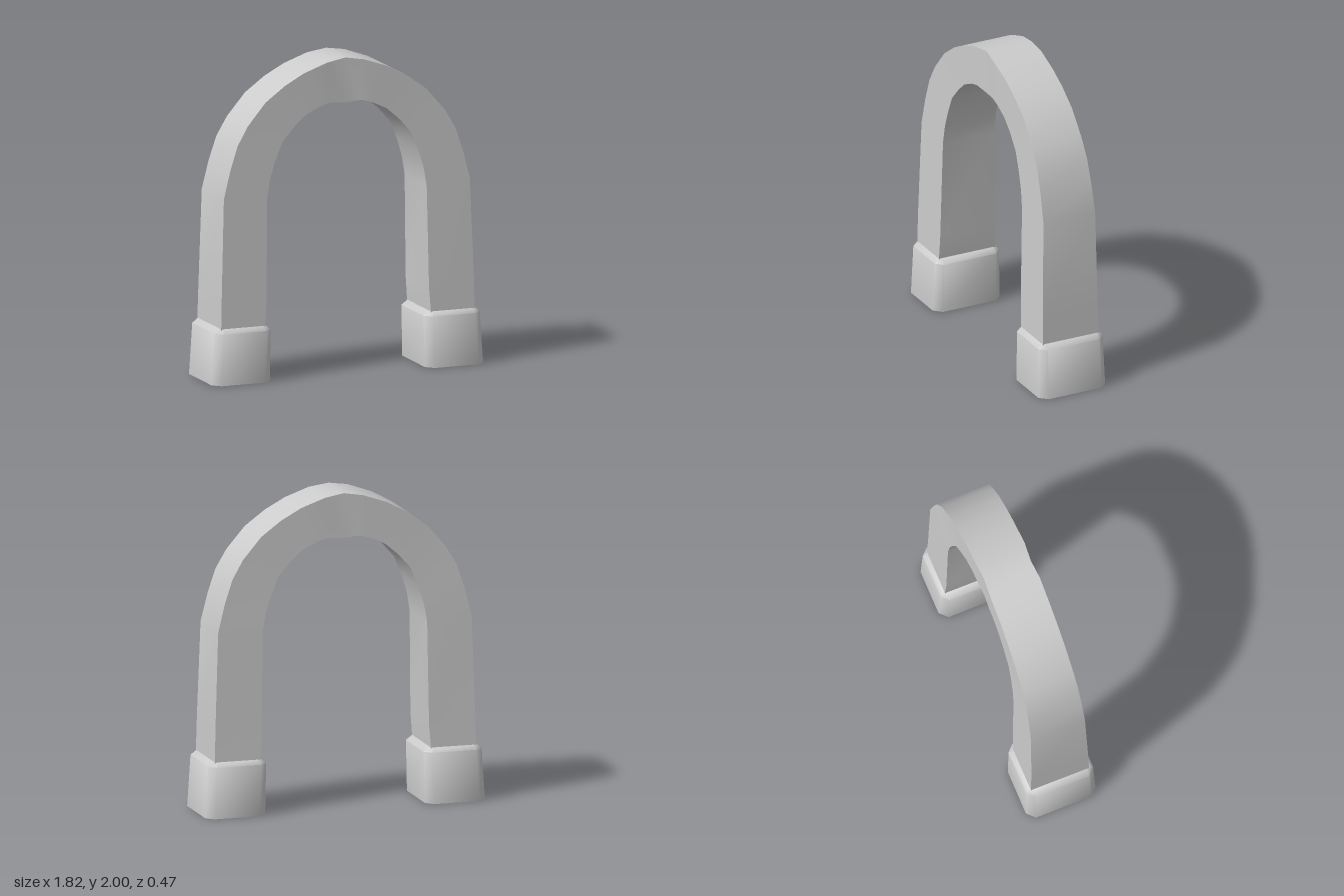
import * as THREE from 'three';
import { toCreasedNormals } from 'three/addons/utils/BufferGeometryUtils.js';

// Skin a stack of closed rings (each counter-clockwise seen from the end) and cap both ends
function loft(rings, crease) {
  const n = rings[0].length, index = [];
  for (let r = 0; r < rings.length - 1; r++) {
    for (let i = 0; i < n; i++) {
      const a = r * n + i, b = r * n + (i + 1) % n;
      index.push(a, b, b + n, a, b + n, a + n);
    }
  }
  const last = (rings.length - 1) * n;
  for (let i = 1; i < n - 1; i++) {
    index.push(0, i + 1, i, last, last + i, last + i + 1);
  }
  const geometry = new THREE.BufferGeometry();
  geometry.setAttribute('position', new THREE.Float32BufferAttribute(rings.flat(2), 3));
  geometry.setIndex(index);
  return toCreasedNormals(geometry, crease);
}

// Half of the arch: outer x, outer y, inner x, inner y, front z, back z
const archHalf = [
  [0.85, 0.34, 0.557, 0.34, 0.195, -0.195],
  [0.845, 0.55, 0.545, 0.5, 0.192, -0.19],
  [0.825, 1.17, 0.535, 1.15, 0.178, -0.183],
  [0.78, 1.35, 0.515, 1.27, 0.175, -0.179],
  [0.73, 1.5, 0.48, 1.38, 0.172, -0.175],
  [0.66, 1.62, 0.43, 1.5, 0.169, -0.171],
  [0.54, 1.76, 0.35, 1.59, 0.166, -0.17],
  [0.41, 1.855, 0.27, 1.66, 0.165, -0.169],
  [0.28, 1.925, 0.175, 1.705, 0.164, -0.168],
  [0.125, 1.98, 0.105, 1.725, 0.164, -0.169],
  [0, 2.0, 0, 1.715, 0.152, -0.162],
];

// Rectangle with cut corners at height y, mirrored for the other side
function footRing(side, y, xIn, xOut, z, cut) {
  const ring = [
    [xOut, y, z - cut], [xOut, y, cut - z], [xOut - cut, y, -z], [xIn + cut, y, -z],
    [xIn, y, cut - z], [xIn, y, z - cut], [xIn + cut, y, z], [xOut - cut, y, z],
  ];
  return side > 0 ? ring : ring.map(([x, h, d]) => [-x, h, d]).reverse();
}

export function createModel() {
  const model = new THREE.Group();
  model.name = 'archway';
  const material = new THREE.MeshStandardMaterial({ color: 0xcccccc });

  // Arch with straight legs, swept from the left foot over to the right
  const sections = [
    ...archHalf,
    ...archHalf.slice(0, -1).reverse().map(([ox, oy, ix, iy, f, b]) => [-ox, oy, -ix, iy, f, b]),
  ];
  const archRings = sections.map(([ox, oy, ix, iy, f, b]) =>
    [[ox, oy, f], [ox, oy, b], [ix, iy, b], [ix, iy, f]]);
  const arch = new THREE.Mesh(loft(archRings, 0.8), material);
  arch.name = 'arch';
  model.add(arch);

  // Flared feet with cut corners and a bevelled top
  for (const side of [1, -1]) {
    const foot = new THREE.Mesh(loft([
      footRing(side, 0, 0.52, 0.91, 0.233, 0.048),
      footRing(side, 0.325, 0.512, 0.89, 0.225, 0.045),
      footRing(side, 0.352, 0.55, 0.855, 0.198, 0.02),
    ], 1.0), material);
    foot.name = side > 0 ? 'leftFoot' : 'rightFoot';
    model.add(foot);
  }
  return model;
}
